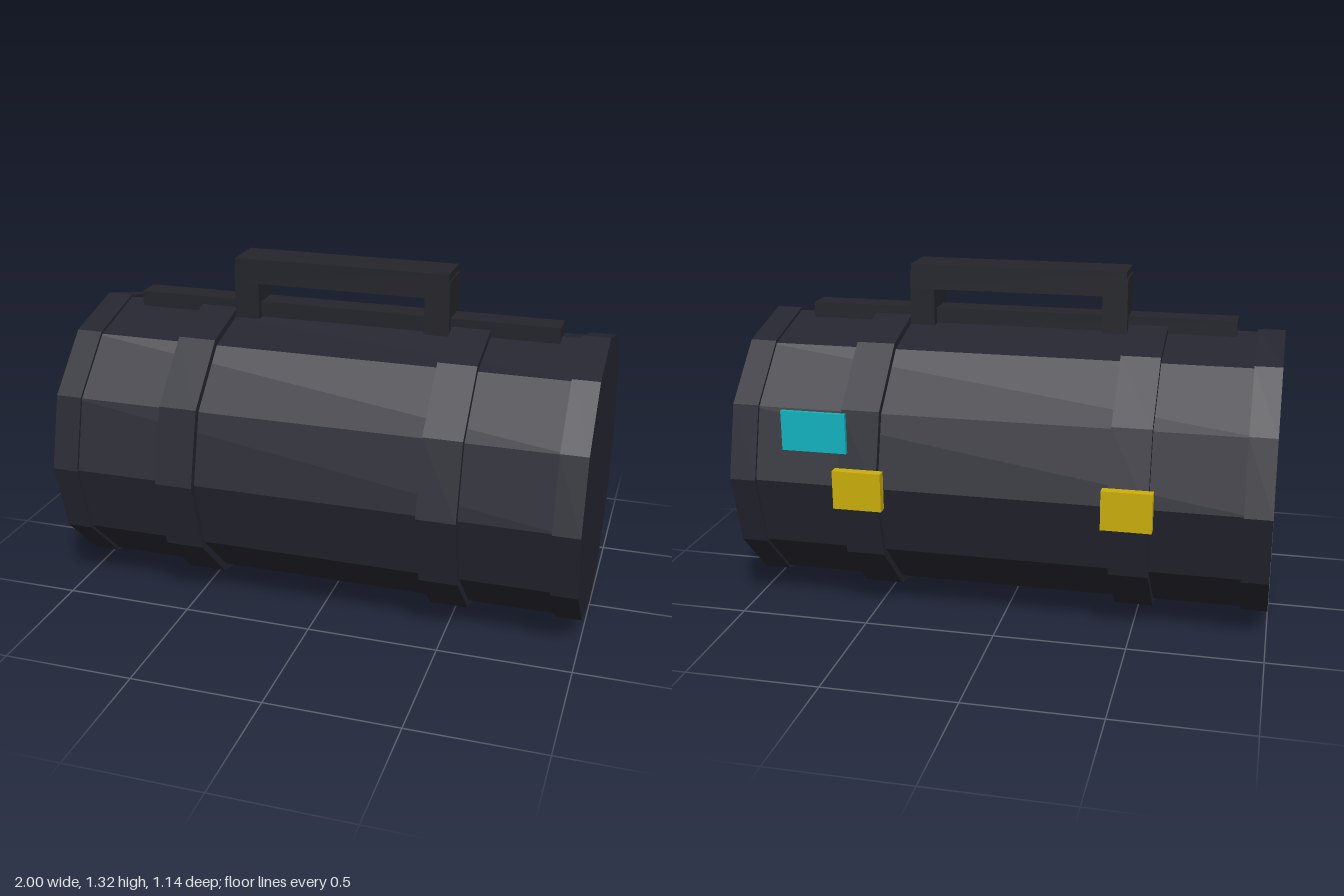
import * as THREE from 'three';

const mat = (name, color) => {
  const m = new THREE.MeshStandardMaterial({ color, flatShading: true });
  m.name = name;
  return m;
};

export function createModel() {
  const group = new THREE.Group();
  const shell = mat('darkShell', 0x262631);
  const grip = mat('darkGrip', 0x24252b);
  const yellow = mat('yellowLatch', 0xccae0a);
  const cyan = mat('cyanPanel', 0x10b4c0);

  const add = (name, geometry, material) => {
    const mesh = new THREE.Mesh(geometry, material);
    mesh.name = name;
    group.add(mesh);
  };

  // Twelve-sided drum section lying along x
  const drum = (name, radius, x0, x1) => {
    const g = new THREE.CylinderGeometry(radius, radius, x1 - x0, 12);
    g.rotateZ(Math.PI / 2).translate((x0 + x1) / 2, 0.562, 0.009);
    add(name, g, shell);
  };

  // Box given by its limits on each axis
  const box = (name, material, x0, x1, y0, y1, z0, z1) => {
    const g = new THREE.BoxGeometry(x1 - x0, y1 - y0, z1 - z0);
    g.translate((x0 + x1) / 2, (y0 + y1) / 2, (z0 + z1) / 2);
    add(name, g, material);
  };

  // Body with raised end caps and bands
  drum('body', 0.534, -0.95, 0.95);
  drum('rightEndCap', 0.545, -1, -0.9);
  drum('leftEndCap', 0.545, 0.9, 1);
  drum('rightBand', 0.562, -0.57, -0.425);
  drum('leftBand', 0.562, 0.425, 0.57);

  // Top rail and carrying handle
  box('topRail', grip, -0.825, 0.825, 1.05, 1.142, -0.041, 0.059);
  box('handleBar', grip, -0.415, 0.415, 1.22, 1.315, -0.073, 0.09);
  box('rightHandleLeg', grip, -0.42, -0.325, 1.08, 1.288, -0.072, 0.089);
  box('leftHandleLeg', grip, 0.325, 0.42, 1.08, 1.288, -0.072, 0.089);

  // Latches and status panel on the back
  box('rightLatch', yellow, -0.588, -0.405, 0.49, 0.636, -0.57, -0.534);
  box('leftLatch', yellow, 0.4, 0.583, 0.49, 0.636, -0.57, -0.534);
  box('statusPanel', cyan, 0.535, 0.78, 0.695, 0.845, -0.543, -0.527);

  return group;
}
